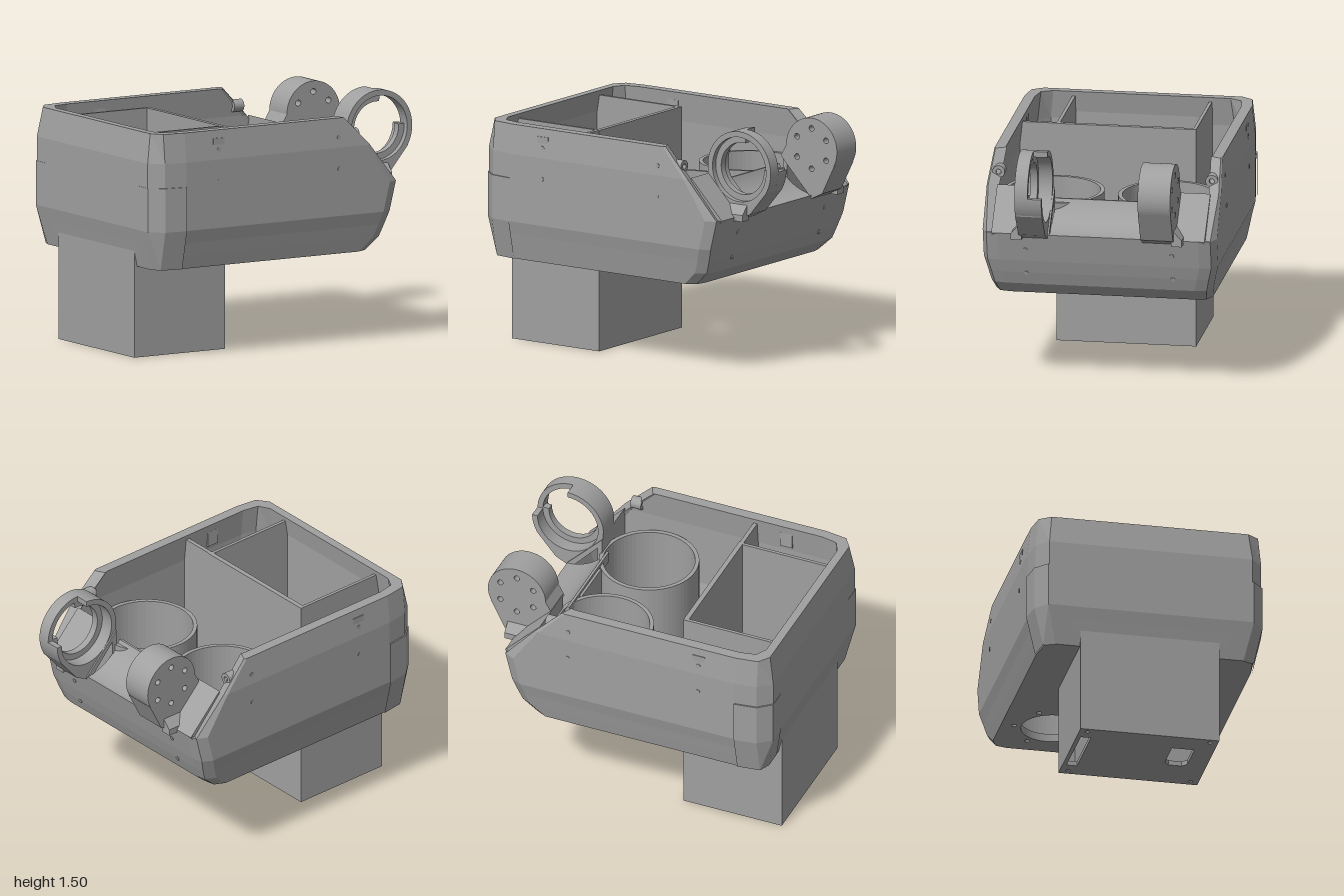
import * as THREE from 'three';

const grey = new THREE.MeshStandardMaterial({ color: 0xa0a0a0 });
grey.name = 'plain grey';

// Flat-shaded grid surface through rows of points
function loft(rows, closed = false, flip = false) {
  const pos = [];
  for (let j = 0; j < rows.length - 1; j++) {
    const n = rows[j].length;
    for (let i = 0; i < (closed ? n : n - 1); i++) {
      const k = (i + 1) % n;
      const a = rows[j][i], b = rows[j][k], c = rows[j + 1][k], d = rows[j + 1][i];
      pos.push(...(flip ? [a, b, c, a, c, d] : [a, c, b, a, d, c]).flat());
    }
  }
  const g = new THREE.BufferGeometry();
  g.setAttribute('position', new THREE.Float32BufferAttribute(pos, 3));
  g.computeVertexNormals();
  return g;
}

const poly = pts => new THREE.Shape(pts.map(p => new THREE.Vector2(...p)));
const rect = (x0, x1, z0, z1) => poly([[x0, -z0], [x0, -z1], [x1, -z1], [x1, -z0]]);
const circle = (x, z, r) => new THREE.Shape().absarc(x, -z, r, 0, Math.PI * 2);
const extrude = (shape, depth) =>
  new THREE.ExtrudeGeometry(shape, { depth, bevelEnabled: false, curveSegments: 32 });
// Horizontal slab (shape y is -z) and upright prism
const slab = (shape, y0, y1) => extrude(shape, y1 - y0).rotateX(-Math.PI / 2).translate(0, y0, 0);
const prism = (shape, z0, z1) => extrude(shape, z1 - z0).translate(0, 0, z0);
const block = (x0, x1, y0, y1, z0, z1) => new THREE.BoxGeometry(x1 - x0, y1 - y0, z1 - z0)
  .translate((x0 + x1) / 2, (y0 + y1) / 2, (z0 + z1) / 2);

// Half of the hull plan, front corner to back, then mirrored.
// level: height, back x, front x, half width, front corner cut
function halfPlan([y, xb, xf, w, c], inset, nose) {
  xb += inset * 0.8; xf -= inset * 0.5; w -= inset;
  const pts = [[xf - c * 0.2, y, w - c * 0.4], [xf - c, y, w],
    [-0.78, y, w], [-0.92 + inset * 0.6, y, w - 0.02], [xb, y, w - 0.09]];
  if (nose) pts.unshift([xf, y, w - c * 1.3]);
  return pts;
}
const mirrorZ = p => [p[0], p[1], -p[2]];
function plan(level, inset, nose) {
  const h = halfPlan(level, inset, nose);
  return [...h, ...h.map(mirrorZ).reverse()];
}

const lower = [
  [0.56, -0.95, 0.57, 0.665, 0.08], [0.64, -0.967, 0.66, 0.683, 0.08], [0.72, -0.983, 0.69, 0.7, 0.08],
  [0.8, -1, 0.715, 0.72, 0.08], [0.98, -1, 0.76, 0.72, 0.08]];
const upper = [[0.98, -1, 0.76, 0.72, 0.08], [1.22, -1, 0.55, 0.72, 0.03], [1.4, -0.97, 0.37, 0.7, 0.02]];
const WALL = 0.065;

export function createModel() {
  const model = new THREE.Group();
  const add = (name, geometry) => {
    const m = new THREE.Mesh(geometry, grey);
    m.name = name;
    model.add(m);
    return m;
  };

  // Hull: closed tub below, U-shaped walls with slanted ends above
  const shell = (levels, nose) => [
    ...levels.map(l => plan(l, 0, nose)),
    ...[...levels].reverse().map(l => plan(l, WALL, nose))];
  add('lowerHull', loft([...shell(lower, true), plan(lower[0], 0, true)], true));
  add('upperHull', loft(shell(upper, false)));
  const outer = upper.map(l => plan(l, 0, false)), inner = upper.map(l => plan(l, WALL, false));
  const last = outer[0].length - 1;
  add('leftWallEnd', loft([outer.map(r => r[0]), inner.map(r => r[0])]));
  add('rightWallEnd', loft([outer.map(r => r[last]), inner.map(r => r[last])], false, true));

  // Thin guards wrapped round the back corners
  const guardLevels = [lower[0], lower[3], [1.07, -1, 0.7, 0.72, 0.08]];
  for (const s of [1, -1]) {
    const strip = off => guardLevels.map(l => {
      const h = halfPlan(l, 0, false).slice(2);
      h.push([l[1], l[0], l[3] - 0.2]);
      return h.map(([x, y, z], i) => [x - (i ? off * 0.3 : 0), y, (z + (i < 3 ? off : 0)) * s]);
    });
    add('cornerGuard', loft([...strip(0.008), strip(0)[2]], false, s < 0));
  }

  // Floor with cable hole, two drive holes and their screw holes
  const floor = poly(plan(lower[0], 0.03, true).map(p => [p[0], -p[2]]));
  floor.holes.push(rect(-0.95 + 0.01, -0.35, -0.4, 0.4), circle(-0.13, 0, 0.14));
  for (const z of [0.35, -0.35]) {
    floor.holes.push(circle(0.24, z, 0.19));
    for (let i = 0; i < 6; i++) {
      const a = (i + 0.5) * Math.PI / 3 + Math.PI / 3 + 0.03;
      floor.holes.push(circle(0.24 + 0.235 * Math.cos(a), z + 0.235 * Math.sin(a), 0.016));
    }
  }
  add('floor', slab(floor, 0.56, 0.61));

  // Round cups above the drive holes
  for (const z of [0.35, -0.35]) {
    const cup = circle(0.24, z, 0.305);
    cup.holes.push(circle(0.24, z, 0.28));
    add('driveCup', slab(cup, 0.6, 1.12));
  }

  // Hanging compartment box, continuing up as inner partitions
  const box = rect(-0.97, -0.32, -0.43, 0.43);
  box.holes.push(rect(-0.94, -0.35, -0.41, 0.41));
  add('compartmentWalls', slab(box, 0.01, 1.37));
  const base = rect(-0.97, -0.32, -0.43, 0.43);
  base.holes.push(rect(-0.85, -0.44, -0.405, -0.34),
    poly([[-0.81, -0.17], [-0.6, -0.17], [-0.57, -0.2], [-0.57, -0.28], [-0.6, -0.31], [-0.81, -0.31]]));
  for (const x of [-0.93, -0.36]) for (const z of [-0.38, 0.38]) base.holes.push(circle(x, z, 0.014));
  add('compartmentBase', slab(base, 0, 0.03));
  add('compartmentDivider', block(-0.94, -0.35, 0.03, 0.56, -0.335, -0.315));
  add('sidePartition', block(-0.35, -0.325, 0.6, 1.37, 0.42, 0.655));
  add('floorRib', block(-0.33, -0.16, 0.6, 0.75, -0.43, -0.41));
  add('floorRib', block(-0.18, -0.16, 0.6, 0.75, -0.43, -0.21));
  add('floorRib', block(-0.18, -0.16, 0.6, 0.75, 0.44, 0.655));

  // Concave cradle between the arms, with bulkhead and sloping side decks
  const cradle = poly([[0.49, 1.06], [0.56, 1.0], [0.74, 0.94], [0.76, 0.98]]);
  cradle.absarc(0.76, 1.27, 0.29, -Math.PI / 2, -2.68, true);
  cradle.lineTo(0.485, 1.14);
  add('cradle', prism(cradle, -0.305, 0.305));
  add('bulkhead', block(0.47, 0.5, 0.6, 1.12, -0.15, 0.15));
  const deck = poly([[0.53, 0.75], [0.56, 0.75], [0.56, 1.15], [0.74, 0.95], [0.76, 0.98], [0.53, 1.22]]);
  add('leftDeck', prism(deck, 0.3, 0.655));
  add('rightDeck', prism(deck, -0.655, -0.3));

  // Ring arm: full layer, cut-away layer and open inner lip
  const CX = 0.76, CY = 1.27, R = 0.235;
  const foot = [[0.84, 1.0], [0.76, 0.96], [0.53, 1.2]];
  const ring = poly([[0.965, 1.15], ...foot]);
  ring.absarc(CX, CY, R, Math.PI, -0.5, true);
  ring.holes.push(new THREE.Path().absarc(CX, CY, 0.2, 0, Math.PI * 2));
  add('ringArm', prism(ring, 0.395, 0.475));
  const open = poly([[0.965, 1.15], ...foot]);
  open.absarc(CX, CY, R, Math.PI, Math.PI / 2, true);
  open.absarc(CX, CY, 0.2, Math.PI / 2, Math.PI * 2, false);
  open.absarc(CX, CY, R, 0, -0.5, true);
  add('ringArmInnerLayer', prism(open, 0.31, 0.395));
  const lip = new THREE.Shape();
  lip.absarc(CX, CY, 0.202, 1.45, 6.33, false);
  lip.absarc(CX, CY, 0.16, 6.33, 1.45, true);
  add('ringLip', prism(lip, 0.395, 0.44));

  // Disc arm with six screw holes
  const disc = poly([[0.93, 1.18], ...foot]);
  disc.absarc(CX, CY, 0.19, Math.PI, -0.5, true);
  for (let i = 0; i < 6; i++) {
    const a = (i + 0.5) * Math.PI / 3;
    disc.holes.push(new THREE.Path().absarc(CX + 0.125 * Math.cos(a), CY + 0.125 * Math.sin(a), 0.018, 0, Math.PI * 2));
  }
  add('discArm', prism(disc, -0.475, -0.275));

  // Flared gussets at the feet of the arms
  const gusset = poly([[0.46, 0.96], [0.525, 0.96], [0.525, 1.0], [0.47, 1.06], [0.46, 1.06]]);
  for (const s of [1, -1]) {
    const g = extrude(gusset, 0.14).rotateY(-Math.PI / 2).translate(0.82, 0, 0);
    if (s < 0) g.rotateY(Math.PI).translate(1.5, 0, 0);
    add('armGusset', g);
  }

  // Fastening ears, clips and screw heads on both sides
  for (const s of [1, -1]) {
    const ear = circle(0, 0, 0.038);
    ear.holes.push(circle(0, 0, 0.016));
    add('fasteningEar', extrude(ear, 0.07).rotateY(Math.PI / 2).translate(0.41, 1.285, s * 0.655));
    add('sideClip', block(-0.58, -0.5, 1.25, 1.35, s * 0.675 - 0.035, s * 0.675 + 0.035));
    for (const [x, y, z] of [[-0.54, 1.09, 0.72], [0.32, 1.09, 0.72], [0.32, 1.28, 0.713], [-0.54, 1.28, 0.713]])
      add('sideScrew', new THREE.CylinderGeometry(0.014, 0.014, 0.006, 16).rotateX(Math.PI / 2).translate(x, y, s * z));
    for (const [x, y] of [[0.734, 0.875], [0.688, 0.715]])
      add('frontScrew', new THREE.CylinderGeometry(0.014, 0.014, 0.008, 16).rotateZ(Math.PI / 2 - 0.24).translate(x, y, s * 0.45));
  }
  return model;
}
